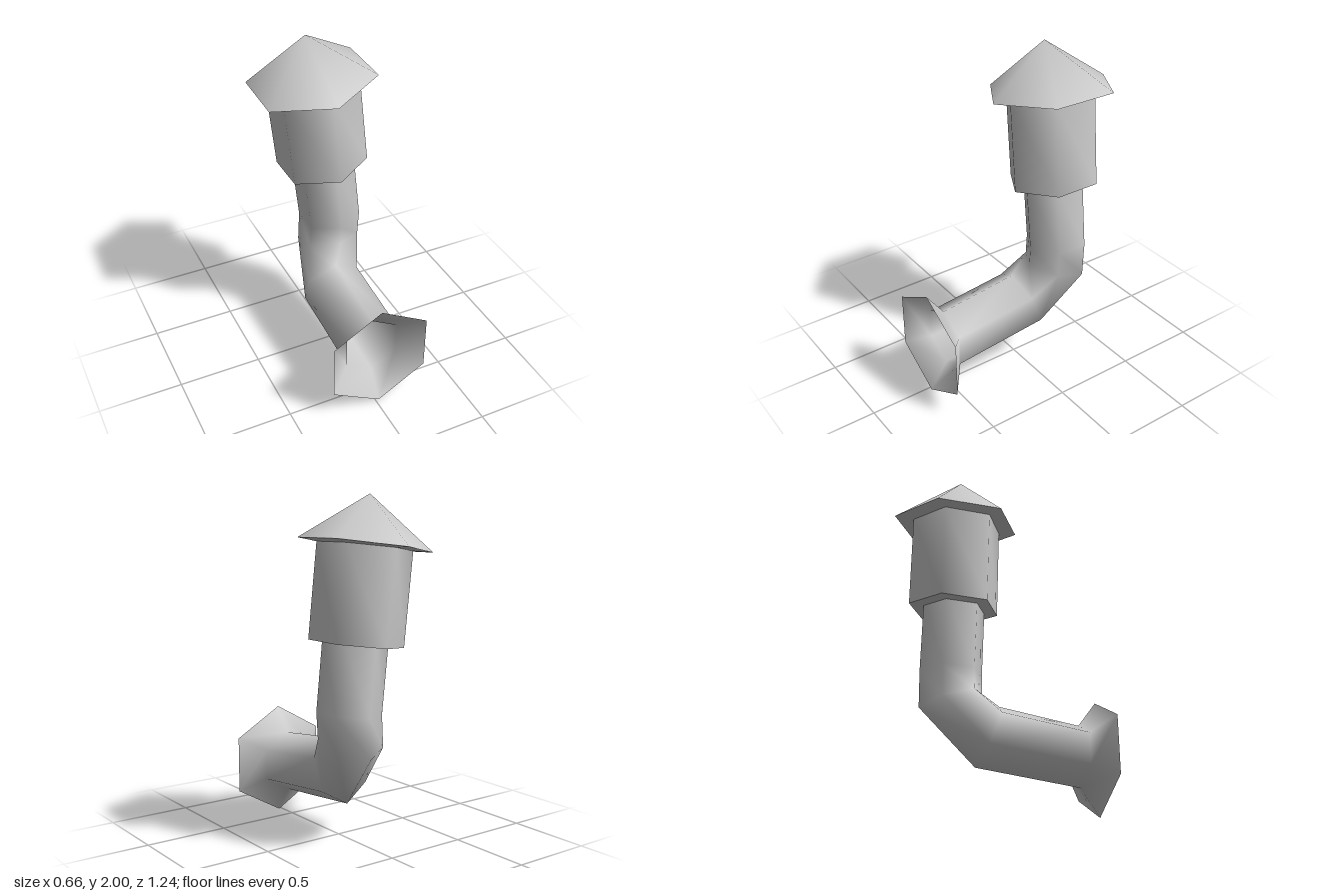
import * as THREE from 'three';
import { mergeVertices } from 'three/addons/utils/BufferGeometryUtils.js';

const SIDES = 6;
const material = new THREE.MeshStandardMaterial({ color: 0xcccccc, side: THREE.DoubleSide });

// Skins a row of hexagonal sections, each given as [centre, up half-axis, side half-axis]
function loft(name, sections) {
  const positions = [];
  const index = [];
  sections.forEach(([c, u, s], i) => {
    for (let k = 0; k < SIDES; k++) {
      const a = (k / SIDES) * Math.PI * 2;
      for (let j = 0; j < 3; j++) positions.push(c[j] + u[j] * Math.cos(a) + s[j] * Math.sin(a));
      if (i === sections.length - 1) continue;
      const p = i * SIDES + k;
      const q = i * SIDES + ((k + 1) % SIDES);
      index.push(p, q, p + SIDES, q, q + SIDES, p + SIDES);
    }
  });
  let geometry = new THREE.BufferGeometry();
  geometry.setAttribute('position', new THREE.Float32BufferAttribute(positions, 3));
  geometry.setIndex(index);
  geometry = mergeVertices(geometry);
  geometry.computeVertexNormals();
  const mesh = new THREE.Mesh(geometry, material);
  mesh.name = name;
  return mesh;
}

// Horizontal section of the leaning stack: the +x side is a little higher
const level = (x, y, z, r, lean = 0.12, twist = 0) => [
  [x, y, z],
  [r * Math.sin(twist), r * Math.sin(twist) * lean, r * Math.cos(twist)],
  [r * Math.cos(twist), r * Math.cos(twist) * lean, -r * Math.sin(twist)],
];

// Section that shrinks to a point
const point = (x, y, z) => [[x, y, z], [0, 0, 0], [0, 0, 0]];

export function createModel() {
  const group = new THREE.Group();
  group.name = 'chimneyPipe';

  // Open flared mouth, horizontal run, elbow and upright run
  group.add(loft('pipe', [
    [[0.02, 0.34, 0.62], [0, 0.34, 0], [0.34, 0, 0]],
    [[0.02, 0.345, 0.51], [0, 0.185, 0], [0.185, 0, 0]],
    [[0.02, 0.405, -0.04], [0, 0.185, 0.07], [0.185, 0, 0]],
    [[0.09, 0.617, -0.235], [0, 0.058, 0.185], [0.185, 0, 0]],
    level(0.1, 0.79, -0.235, 0.185, 0.08),
    level(0.055, 1.22, -0.235, 0.185),
  ]));

  // Wider sleeve with its underside and lid
  const bottom = level(0.055, 1.18, -0.24, 0.268);
  const top = level(0, 1.72, -0.245, 0.268);
  group.add(loft('sleeve', [bottom, top]));
  group.add(loft('sleeveUnderside', [point(0.055, 1.18, -0.24), bottom]));
  group.add(loft('sleeveLid', [top, point(0, 1.72, -0.245)]));

  // Pointed rain cap and its brim underside
  const rim = level(0, 1.722, -0.25, 0.375, 0.135, -0.03);
  group.add(loft('rainCap', [rim, point(-0.04, 2, -0.235)]));
  group.add(loft('brimUnderside', [level(0, 1.715, -0.245, 0.26), rim]));

  return group;
}
